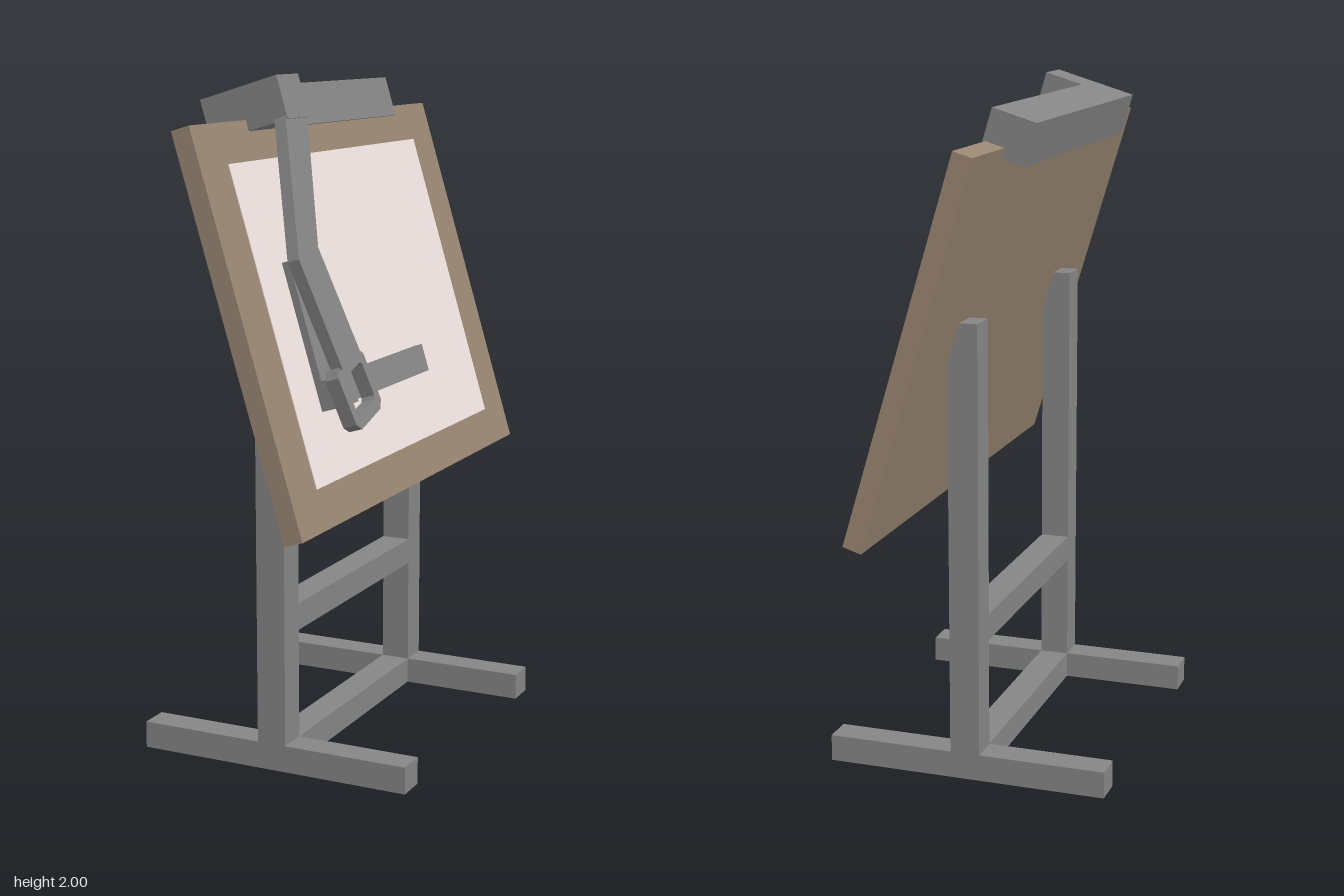
import * as THREE from 'three';

const grey = new THREE.MeshStandardMaterial({ color: 0x858585, flatShading: true });
const wood = new THREE.MeshStandardMaterial({ color: 0x9a8672, flatShading: true });
const paper = new THREE.MeshStandardMaterial({ color: 0xeee2e0, flatShading: true });

// Box given by its minimum and maximum on each axis
function box(parent, name, material, [x0, x1], [y0, y1], [z0, z1]) {
  const mesh = new THREE.Mesh(new THREE.BoxGeometry(x1 - x0, y1 - y0, z1 - z0), material);
  mesh.position.set((x0 + x1) / 2, (y0 + y1) / 2, (z0 + z1) / 2);
  mesh.name = name;
  parent.add(mesh);
  return mesh;
}

function outline(points) {
  return new THREE.Shape(points.map(([x, y]) => new THREE.Vector2(x, y)));
}

function plate(parent, name, shape, depth) {
  const geometry = new THREE.ExtrudeGeometry(shape, { depth, bevelEnabled: false });
  const mesh = new THREE.Mesh(geometry, grey);
  mesh.name = name;
  parent.add(mesh);
  return mesh;
}

// Square with cut corners
function cutSquare(w, h, cut) {
  return [
    [-w + cut, -h], [w - cut, -h], [w, -h + cut], [w, h - cut],
    [w - cut, h], [-w + cut, h], [-w, h - cut], [-w, -h + cut],
  ];
}

function createStand() {
  const stand = new THREE.Group();
  stand.name = 'stand';

  // Posts are cut at the top to meet the tilted board
  const post = outline([[-0.045, 0], [0.045, 0], [0.045, 1.243], [0.009, 1.365], [-0.045, 1.365]]);
  for (const [side, z] of [['left', 0.405], ['right', -0.472]]) {
    plate(stand, side + 'Post', post, 0.09).position.z = z;
    box(stand, side + 'Foot', grey, [-0.425, 0.425], [0, 0.08], [z, z + 0.09]);
  }

  // Cross bars
  box(stand, 'lowerCrossBar', grey, [-0.045, 0.045], [0, 0.08], [-0.385, 0.41]);
  box(stand, 'upperCrossBar', grey, [-0.045, 0.045], [0.407, 0.487], [-0.385, 0.41]);
  return stand;
}

function createBoard() {
  // Local x points out of the drawing surface, local y runs up it
  const board = new THREE.Group();
  board.name = 'tiltedBoard';
  board.position.set(0.052, 1.32, 0);
  board.rotation.z = 0.2927;

  box(board, 'drawingBoard', wood, [-0.0285, 0.0285], [-0.572, 0.572], [-0.77, 0.77]);
  box(board, 'paper', paper, [0.02, 0.0305], [-0.457, 0.457], [-0.617, 0.62]);

  // Head rail with the block that carries the arm
  box(board, 'headRail', grey, [-0.095, 0.037], [0.54, 0.664], [-0.513, 0.4]);
  box(board, 'armMount', grey, [-0.095, 0.156], [0.54, 0.664], [0.325, 0.457]);

  // Two rulers and the pivot at their corner
  box(board, 'horizontalRuler', grey, [0.0285, 0.053], [-0.264, -0.18], [-0.225, 0.4]);
  box(board, 'verticalRuler', grey, [0.0285, 0.053], [-0.2, 0.165], [0.39, 0.475]);
  box(board, 'rulerPivot', grey, [0.0285, 0.106], [-0.264, -0.18], [0.39, 0.475]);

  // Bent arm
  const arm = plate(board, 'bentArm', outline([
    [-0.457, 0.55], [-0.6, 0.159], [-0.52, -0.16], [-0.39, -0.13], [-0.472, 0.18], [-0.325, 0.55],
  ]), 0.036);
  arm.position.x = 0.115;
  arm.rotation.y = Math.PI / 2;

  // Open square handle at the arm's end
  const ring = outline(cutSquare(0.095, 0.093, 0.022));
  ring.holes.push(new THREE.Path(cutSquare(0.066, 0.058, 0.01).reverse().map(p => new THREE.Vector2(...p))));
  const handle = plate(board, 'handle', ring, 0.042);
  handle.geometry.rotateZ(0.23);
  handle.position.set(0.1, -0.228, 0.433);
  handle.rotation.y = Math.PI / 2;
  return board;
}

export function createModel() {
  const model = new THREE.Group();
  model.name = 'draftingTable';
  model.add(createStand(), createBoard());
  return model;
}
